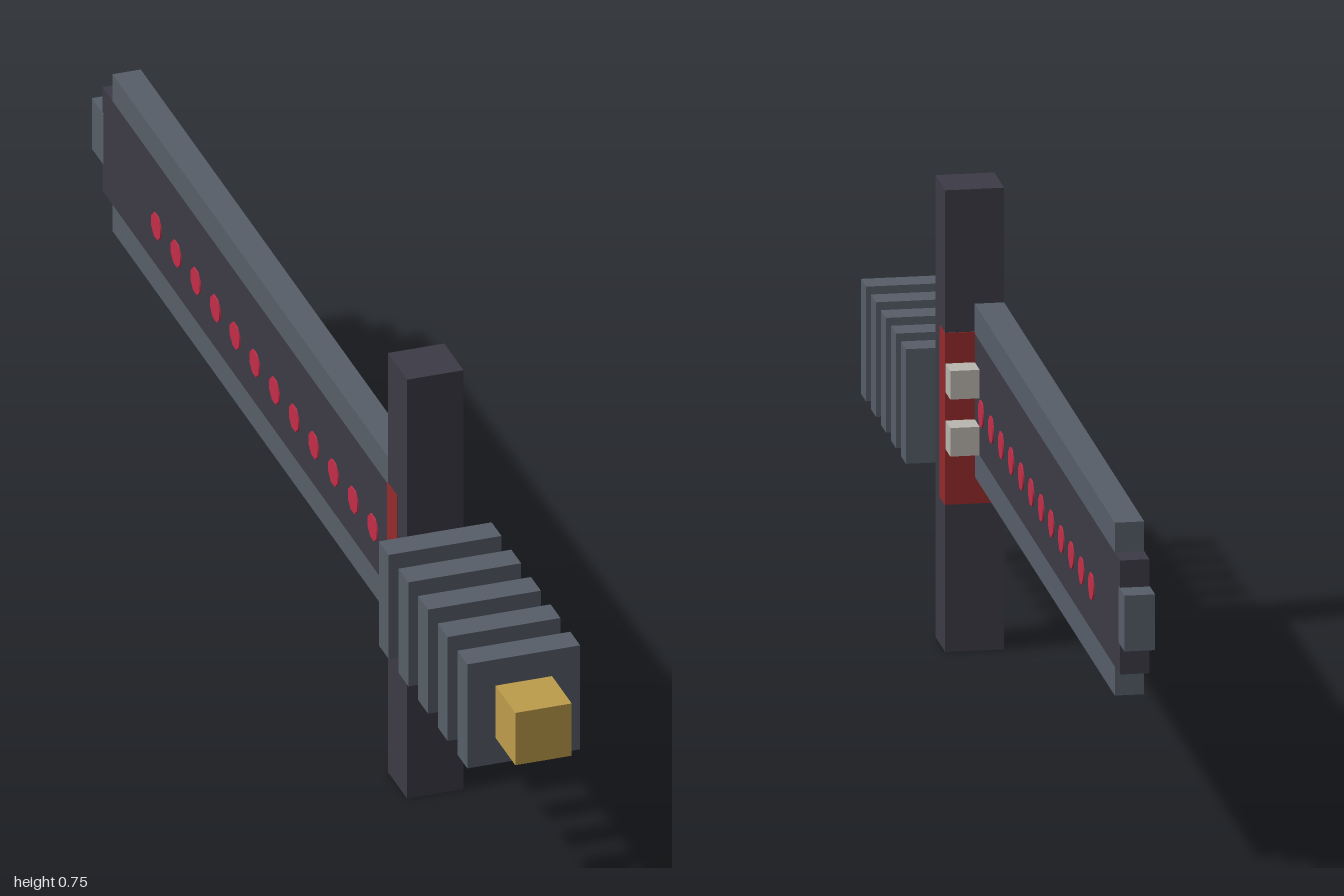
import * as THREE from 'three';

const flat = (name, color) => {
  const m = new THREE.MeshStandardMaterial({ color });
  m.name = name;
  return m;
};

export function createModel() {
  const sword = new THREE.Group();
  sword.name = 'sword';

  const dark = flat('dark iron', 0x3c3a45);
  const steel = flat('grey steel', 0x565e68);
  const gold = flat('gold', 0xbd9c4a);
  const red = flat('dark red', 0x962a2a);
  const ruby = flat('ruby', 0xc42e48);
  const pale = flat('pale stone', 0xb9b5af);

  // Box given by its extents on each axis
  const block = (name, mat, [x0, x1], [y0, y1], [z0, z1]) => {
    const mesh = new THREE.Mesh(new THREE.BoxGeometry(x1 - x0, y1 - y0, z1 - z0), mat);
    mesh.position.set((x0 + x1) / 2, (y0 + y1) / 2, (z0 + z1) / 2);
    mesh.name = name;
    sword.add(mesh);
  };

  const u = 0.0465; // half the guard width
  const wide = [-u, u];
  const thin = [-u, 0];

  // Handle: pommel, grip and five square rings
  block('pommel', gold, wide, [0.327, 0.42], [0.907, 1]);
  block('grip', dark, wide, [0.327, 0.42], [0.488, 0.907]);
  for (let i = 0; i < 5; i++) {
    const z = 0.488 + i * 0.093;
    block('gripRing', steel, [-2 * u, 2 * u], [0.281, 0.466], [z, z + u]);
  }

  // Crossguard with a red band wrapped around its back half
  block('guard', dark, wide, [0, 0.745], [0.397, 0.488]);
  block('guardBand', red, [-u - 0.001, u + 0.001], [0.238, 0.515], [0.395, 0.443]);

  // Blade: dark core, steel edges and stepped tip
  block('bladeCore', dark, thin, [0.328, 0.512], [-0.953, 0.397]);
  block('upperEdge', steel, thin, [0.512, 0.56], [-0.905, 0.397]);
  block('lowerEdge', steel, thin, [0.281, 0.328], [-0.905, 0.397]);
  block('bladeTip', steel, [-u - 0.001, 0.001], [0.378, 0.468], [-1, -0.945]);

  // Pale studs beside the blade root
  block('upperStud', pale, [0, u], [0.42, 0.466], [0.35, 0.397]);
  block('lowerStud', pale, [0, u], [0.328, 0.374], [0.35, 0.397]);

  // Row of gems set through the blade, showing on both faces
  const gemShape = new THREE.CylinderGeometry(0.0235, 0.0235, u + 0.005, 8);
  gemShape.rotateY(Math.PI / 8).rotateZ(Math.PI / 2).scale(1, 0.95, 1);
  for (let i = 0; i < 12; i++) {
    const gem = new THREE.Mesh(gemShape, ruby);
    gem.position.set(-u / 2, 0.4, 0.33 - i * 0.0931);
    gem.name = 'gem';
    sword.add(gem);
  }

  return sword;
}
